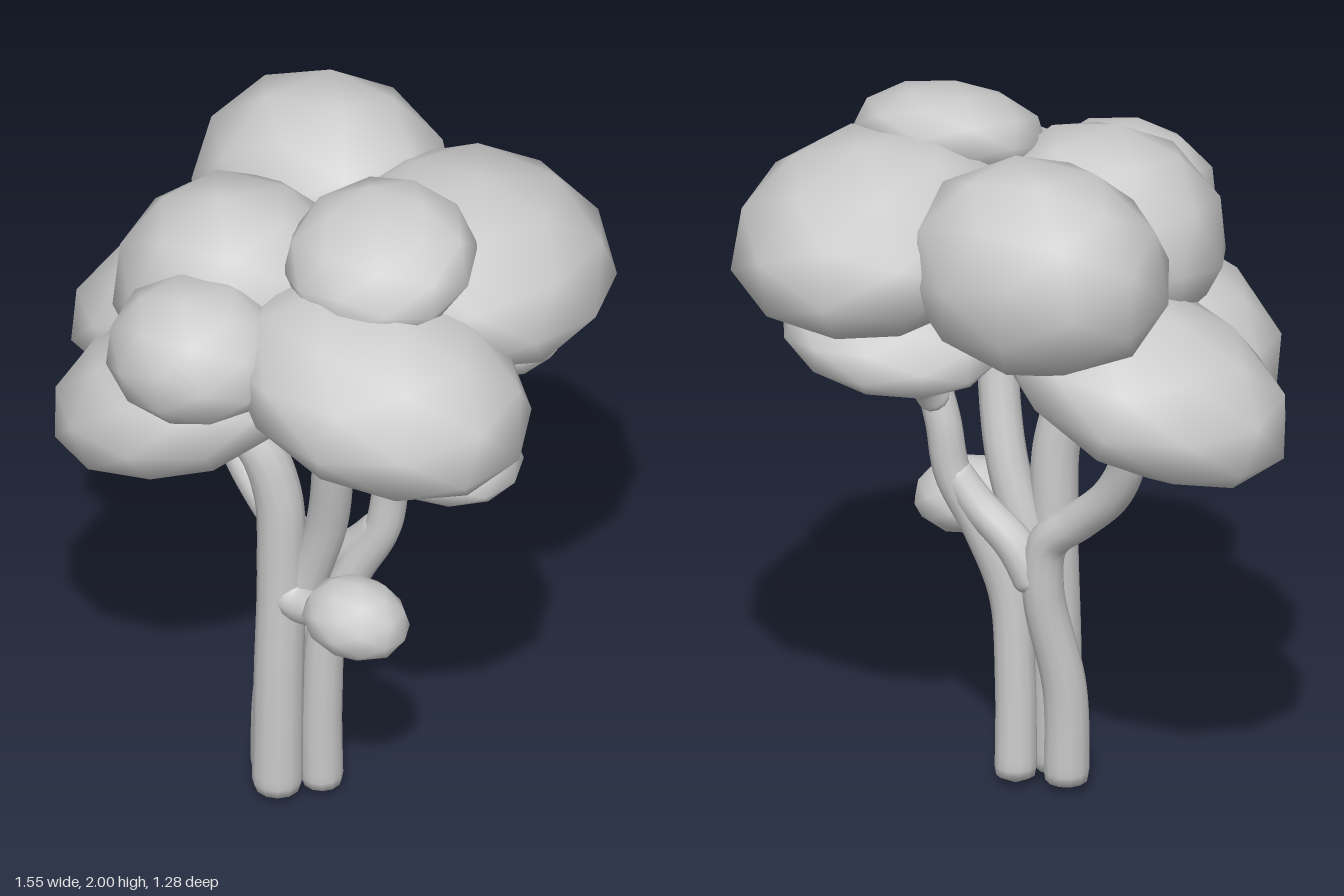
import * as THREE from 'three';
import { mergeVertices } from 'three/addons/utils/BufferGeometryUtils.js';

const material = new THREE.MeshStandardMaterial({ color: 0xcccccc });

// Weld a geometry and give it smooth normals
function smooth(geometry) {
  geometry.deleteAttribute('uv');
  geometry.deleteAttribute('normal');
  const welded = mergeVertices(geometry, 1e-5);
  welded.computeVertexNormals();
  return welded;
}

// Low-poly leaf clump: ellipsoid with a flatter underside
function clump(name, center, radii, tiltX = 0, tiltZ = 0) {
  const geometry = new THREE.IcosahedronGeometry(1.03, 1);
  const p = geometry.attributes.position;
  for (let i = 0; i < p.count; i++) {
    if (p.getY(i) < 0) p.setY(i, p.getY(i) * 0.8);
  }
  geometry.scale(...radii);
  const mesh = new THREE.Mesh(smooth(geometry), material);
  mesh.name = name;
  mesh.position.set(...center);
  mesh.rotation.set(tiltX, 0, tiltZ);
  return mesh;
}

// Tapered limb along a curve, with rounded ends
function limb(name, points, r0, r1) {
  const curve = new THREE.CatmullRomCurve3(points.map((q) => new THREE.Vector3(...q)));
  const rings = 48, sides = 12, length = curve.getLength();
  const geometry = new THREE.TubeGeometry(curve, rings, 1, sides);
  const p = geometry.attributes.position;
  const v = new THREE.Vector3();
  for (let i = 0; i <= rings; i++) {
    const t = i / rings;
    const r = THREE.MathUtils.lerp(r0, r1, t);
    const d = Math.min(1, (Math.min(t, 1 - t) * length) / (r * 0.7));
    const radius = Math.max(0.002, r * Math.sqrt(1 - (1 - d) ** 2));
    const c = curve.getPointAt(t);
    for (let j = 0; j <= sides; j++) {
      const k = i * (sides + 1) + j;
      v.fromBufferAttribute(p, k).sub(c).multiplyScalar(radius).add(c);
      p.setXYZ(k, v.x, v.y, v.z);
    }
  }
  const mesh = new THREE.Mesh(smooth(geometry), material);
  mesh.name = name;
  return mesh;
}

export function createModel() {
  const tree = new THREE.Group();
  tree.name = 'tree';

  // Three twisting stems and their branches
  const trunk = new THREE.Group();
  trunk.name = 'trunk';
  trunk.add(
    limb('frontStem', [[-0.035, 0.005, 0.13], [-0.03, 0.4, 0.13], [-0.025, 0.75, 0.125],
      [-0.035, 1.0, 0.13], [-0.09, 1.15, 0.145], [-0.19, 1.23, 0.16]], 0.069, 0.064),
    limb('leftStem', [[-0.085, 0.005, 0.06], [-0.085, 0.3, 0.045], [-0.04, 0.6, 0.0],
      [-0.06, 0.75, -0.01], [-0.15, 0.83, -0.03], [-0.26, 0.94, -0.07],
      [-0.32, 1.06, -0.105], [-0.33, 1.18, -0.135]], 0.063, 0.05),
    limb('rightStem', [[0.055, 0.005, 0.045], [0.06, 0.3, 0.055], [0.08, 0.55, 0.055],
      [0.145, 0.74, 0.03], [0.225, 0.9, 0.015], [0.25, 1.05, 0.01], [0.29, 1.18, 0.02]], 0.058, 0.048),
    limb('stemJoin', [[-0.03, 0.6, 0.0], [0.04, 0.72, 0.0], [0.15, 0.82, 0.01],
      [0.23, 0.92, 0.015]], 0.058, 0.045),
    limb('middleBranch', [[0.0, 0.62, 0.1], [0.05, 0.76, 0.09], [0.1, 0.92, 0.1],
      [0.14, 1.15, 0.14], [0.155, 1.45, 0.19]], 0.058, 0.055),
    limb('forkFront', [[0.265, 1.1, 0.01], [0.34, 1.19, 0.08], [0.48, 1.3, 0.21]], 0.047, 0.038),
    limb('forkBack', [[0.265, 1.1, 0.01], [0.28, 1.19, -0.06], [0.22, 1.29, -0.23]], 0.047, 0.036),
    limb('twig', [[-0.03, 0.69, 0.12], [0.04, 0.665, 0.14], [0.11, 0.68, 0.17],
      [0.22, 0.72, 0.22]], 0.065, 0.025),
  );
  tree.add(trunk);

  // Crown of overlapping leaf clumps: centre, radii, tilts
  const crown = new THREE.Group();
  crown.name = 'crown';
  crown.add(
    clump('topBackClump', [-0.145, 1.68, -0.325], [0.36, 0.315, 0.3], -0.35, 0.12),
    clump('backRightClump', [0.355, 1.665, -0.22], [0.385, 0.27, 0.415], -0.1, -0.1),
    clump('topClump', [0.265, 1.85, 0.1], [0.26, 0.14, 0.25], 0.32, 0),
    clump('middleClump', [-0.165, 1.61, 0.11], [0.34, 0.31, 0.31], 0.15, 0.1),
    clump('smallFrontClump', [-0.12, 1.61, 0.42], [0.25, 0.195, 0.22], 0.3, 0.06),
    clump('frontRightClump', [0.355, 1.56, 0.265], [0.42, 0.25, 0.34], 0.1, -0.24),
    clump('frontLeftClump', [-0.25, 1.32, 0.26], [0.385, 0.225, 0.3], 0.05, 0.42),
    clump('backLeftClump', [-0.39, 1.32, -0.155], [0.41, 0.225, 0.32], -0.1, 0.4),
    clump('underBackClump', [0.3, 1.405, -0.25], [0.3, 0.135, 0.23], -0.25, 0.12),
    clump('underRightClump', [0.5, 1.335, 0.17], [0.21, 0.105, 0.2], 0, -0.12),
    clump('twigClump', [0.258, 0.735, 0.225], [0.147, 0.115, 0.125], 0, -0.1),
  );
  tree.add(crown);
  return tree;
}
